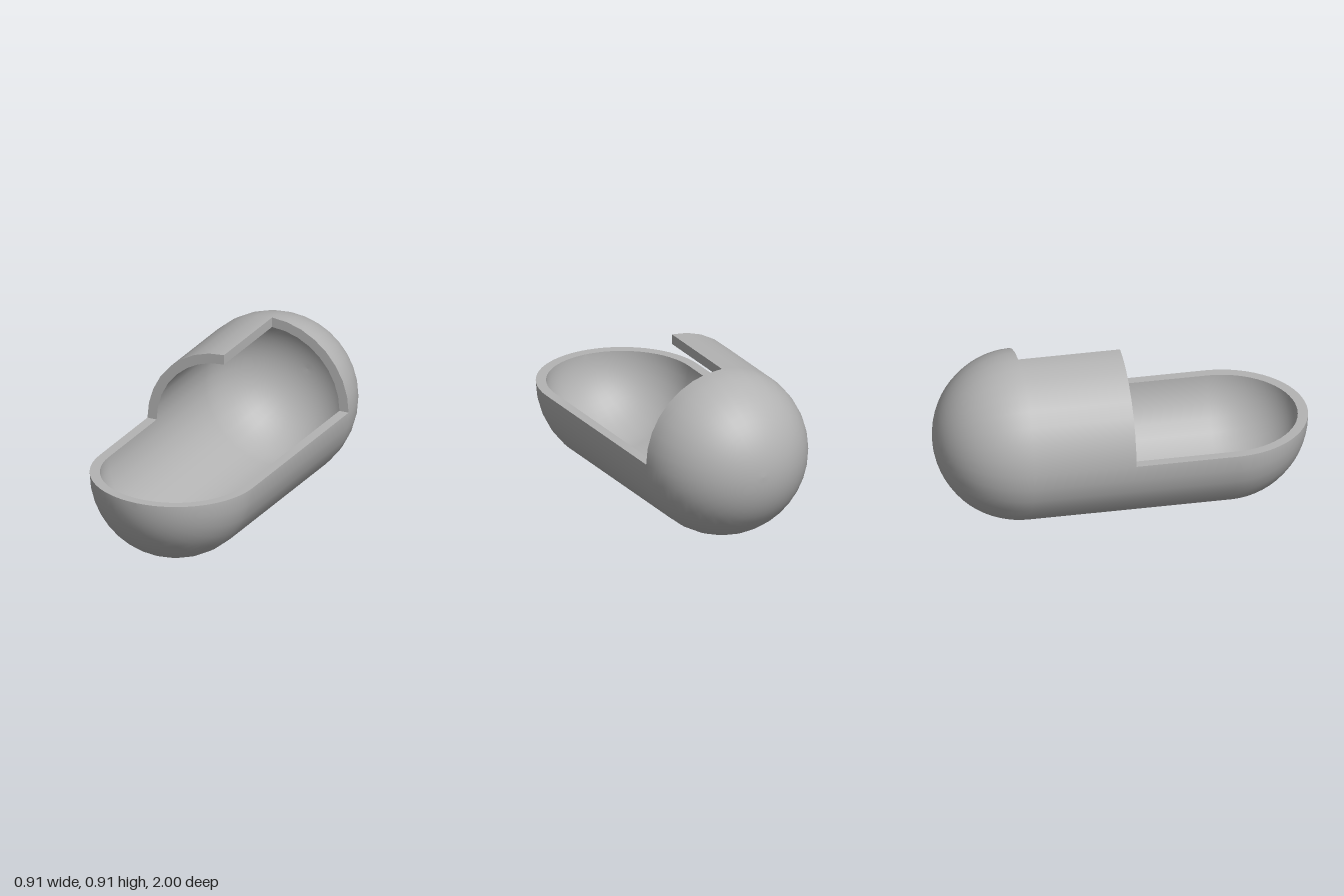
import * as THREE from 'three';

const R = 0.4545;      // outer radius, also the height of the axis
const r = 0.4;         // inner radius
const S = 1 - R;       // half length of the straight tube
const CAP = 16;        // rings per domed end
const Q = Math.PI / 2;

// Capsule outline from the back pole to zEnd (0, -S or the front pole)
function profile(rad, zEnd) {
  const pts = [];
  for (let i = 0; i <= CAP; i++) {
    const a = (i / CAP) * Q;
    pts.push(new THREE.Vector2(rad * Math.sin(a), -S - rad * Math.cos(a)));
  }
  if (zEnd > -S) pts.push(new THREE.Vector2(rad, Math.min(zEnd, S)));
  if (zEnd > S) {
    for (let i = 1; i <= CAP; i++) {
      const a = (i / CAP) * Q;
      pts.push(new THREE.Vector2(rad * Math.cos(a), S + rad * Math.sin(a)));
    }
  }
  return pts;
}

// Cut face between the two radii, a quarter ring starting at the given angle
function quarterRing(start) {
  const s = new THREE.Shape();
  s.absarc(0, 0, R, start, start + Q, false);
  s.absarc(0, 0, r, start + Q, start, true);
  return new THREE.ShapeGeometry(s, 4);
}

export function createModel() {
  const group = new THREE.Group();
  const grey = new THREE.MeshStandardMaterial({ color: 0xb3b3b3, side: THREE.DoubleSide });
  grey.name = 'grey';

  function add(name, geometry, x = 0, y = R, z = 0) {
    const mesh = new THREE.Mesh(geometry, grey);
    mesh.name = name;
    mesh.position.set(x, y, z);
    group.add(mesh);
  }

  // Outer and inner skins of one angular sector (angle 0 is the bottom, then +x)
  function shell(name, zEnd, start, length) {
    const segs = Math.round(length / Q) * 8;
    const outer = new THREE.LatheGeometry(profile(R, zEnd), segs, start, length);
    const inner = new THREE.LatheGeometry(profile(r, zEnd).reverse(), segs, start, length);
    add(name + 'Outer', outer.rotateX(Q));
    add(name + 'Inner', inner.rotateX(Q));
  }

  shell('lowerHull', 1, -Q, 2 * Q);
  shell('upperLeftDome', -S, Q, Q);
  shell('upperRightCover', 0, 2 * Q, Q);

  // Horizontal rim of the open lower hull
  const rim = new THREE.Shape();
  rim.moveTo(R, S);
  rim.lineTo(R, -S);
  rim.absarc(0, -S, R, 0, -Math.PI, true);
  rim.lineTo(-R, 0);
  rim.lineTo(-r, 0);
  rim.lineTo(-r, -S);
  rim.absarc(0, -S, r, -Math.PI, 0, false);
  rim.lineTo(r, S);
  rim.closePath();
  add('hullRim', new THREE.ShapeGeometry(rim, CAP).rotateX(-Q));

  // Upright cut faces of the dome and the cover
  add('domeEdge', quarterRing(0), 0, R, -S);
  add('coverFrontEdge', quarterRing(Q), 0, R, 0);
  add('coverSideEdge', new THREE.PlaneGeometry(S, R - r).rotateY(Q), 0, R + (R + r) / 2, -S / 2);

  return group;
}
